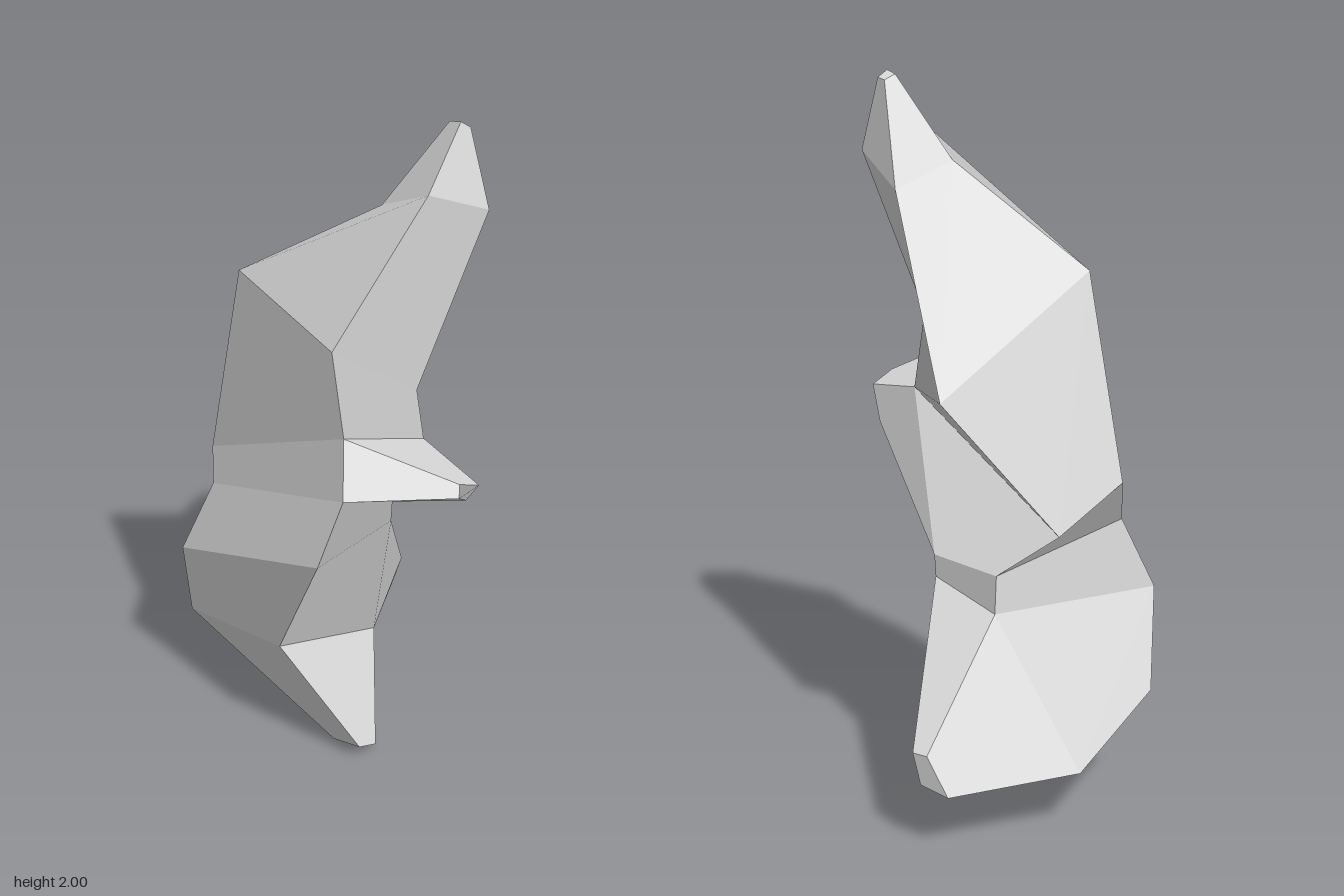
import * as THREE from 'three';

// Four-cornered cross-sections, top to bottom:
// front -x, front +x, back +x, back -x
const rings = [
  [[0.285, 1.99, -0.005], [0.325, 2, 0], [0.33, 1.98, -0.03], [0.29, 1.975, -0.04]], // peak
  [[0.145, 1.76, 0.08], [0.348, 1.86, 0.135], [0.385, 1.78, -0.045], [0.18, 1.69, -0.1]],
  [[-0.263, 1.49, 0.2], [0.228, 1.477, 0.34], [0.3, 1.31, 0.11], [-0.13, 1.17, -0.222]],
  [[-0.37, 0.915, 0.233], [0.257, 1.24, 0.33], [0.25, 1.11, 0.025], [-0.37, 0.815, -0.015]],
  [[-0.355, 0.805, 0.25], [0.308, 1.1, 0.385], [-0.02, 0.71, -0.145], [-0.245, 0.7, -0.125]],
  [[-0.405, 0.6, 0.337], [0.24, 0.88, 0.412], [-0.02, 0.645, -0.14], [-0.24, 0.59, -0.125]],
  [[-0.457, 0.32, 0.275], [-0.005, 0.45, 0.33], [-0.04, 0.27, -0.09], [-0.485, 0.18, -0.04]],
  [[0.04, 0.037, 0.165], [0.143, 0.063, 0.16], [0.137, 0.025, 0.085], [0.04, 0, 0.083]], // foot
];

// Spurs drawn out of one side of a band; the tip follows the side's corner order
const spurs = {
  '3-1': [[0.47, 1.11, 0.13], [0.483, 1.08, 0.145], [0.4, 0.98, 0.02], [0.472, 1.075, 0.055]],
  '5-2': [[-0.23, 0.275, -0.415], [-0.255, 0.19, -0.41], [-0.34, 0.175, -0.39], [-0.28, 0.28, -0.41]],
};

export function createModel() {
  const positions = [];
  const normals = [];

  // A four-sided facet, shaded evenly even where it is slightly twisted
  const quad = (...corners) => {
    const [a, b, c, d] = corners.map((p) => new THREE.Vector3(...p));
    const normal = c.clone().sub(a).cross(d.clone().sub(b)).normalize();
    for (const p of [a, b, d, b, c, d]) {
      positions.push(...p);
      normals.push(...normal);
    }
  };

  // Body bands, with a spur replacing a side where there is one
  for (let r = 0; r < rings.length - 1; r++) {
    for (let i = 0; i < 4; i++) {
      const j = (i + 1) % 4;
      const side = [rings[r][i], rings[r + 1][i], rings[r + 1][j], rings[r][j]];
      const tip = spurs[`${r}-${i}`];
      if (!tip) {
        quad(...side);
        continue;
      }
      for (let k = 0; k < 4; k++) {
        const n = (k + 1) % 4;
        quad(side[k], side[n], tip[n], tip[k]);
      }
      quad(...tip);
    }
  }

  // End caps
  quad(...rings[0]);
  quad(...[...rings[rings.length - 1]].reverse());

  const geometry = new THREE.BufferGeometry();
  geometry.setAttribute('position', new THREE.Float32BufferAttribute(positions, 3));
  geometry.setAttribute('normal', new THREE.Float32BufferAttribute(normals, 3));

  const stone = new THREE.MeshStandardMaterial({ color: 0xdcdcdc });
  stone.name = 'pale grey stone';
  const rock = new THREE.Mesh(geometry, stone);
  rock.name = 'rockShard';

  const group = new THREE.Group();
  group.name = 'rock';
  group.add(rock);
  return group;
}
